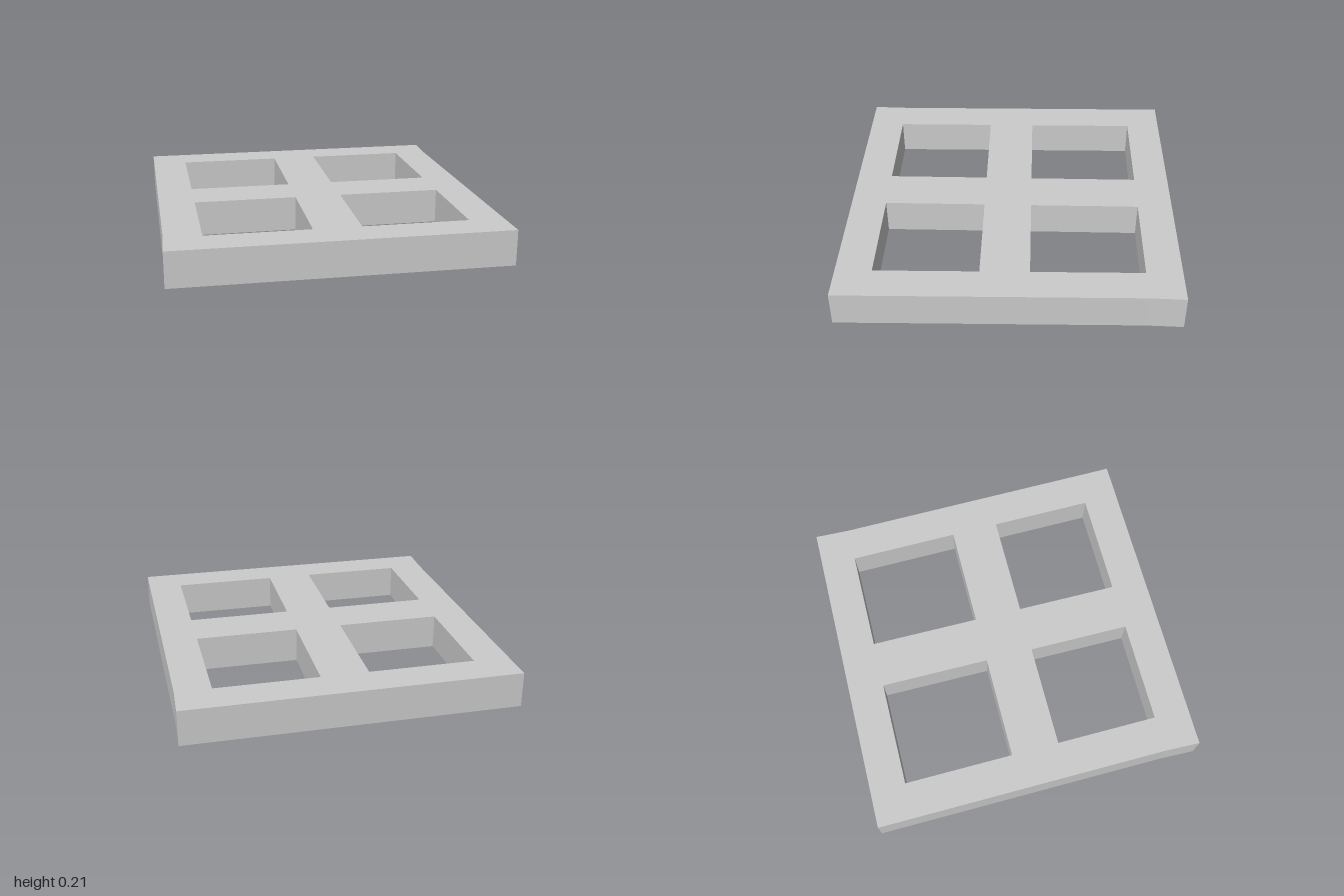
import * as THREE from 'three';

// Plan corners are [x, z]; after the turn below, shape y becomes -z.
const toPoints = (corners) => corners.map(([x, z]) => new THREE.Vector2(x, -z));

export function createModel() {
  const group = new THREE.Group();
  group.name = 'windowFrame';

  // Outer outline (counter-clockwise), with side rails leaning slightly off square
  const outline = new THREE.Shape(toPoints([
    [-0.99, -1], [-0.97, 0.785], [-0.976, 1], [0.989, 1], [0.967, -0.787], [0.974, -1],
  ]));

  // Four openings: the inner edges are straight, the outer edges follow the rails
  const leftEdge = (z) => -0.763 + 0.0105 * z;
  const rightEdge = (z) => 0.767 + 0.0115 * z;
  for (const [back, front] of [[-0.787, -0.123], [0.168, 0.785]]) {
    for (const [west, east] of [[leftEdge, () => -0.138], [() => 0.145, rightEdge]]) {
      outline.holes.push(new THREE.Path(toPoints([
        [west(back), back], [east(back), back], [east(front), front], [west(front), front],
      ])));
    }
  }

  // Flat slab lying on the ground
  const geometry = new THREE.ExtrudeGeometry(outline, { depth: 0.212, bevelEnabled: false });
  geometry.rotateX(-Math.PI / 2);
  const frame = new THREE.Mesh(
    geometry,
    new THREE.MeshStandardMaterial({ color: 0xcccccc, flatShading: true }),
  );
  frame.name = 'frame';
  group.add(frame);
  return group;
}
